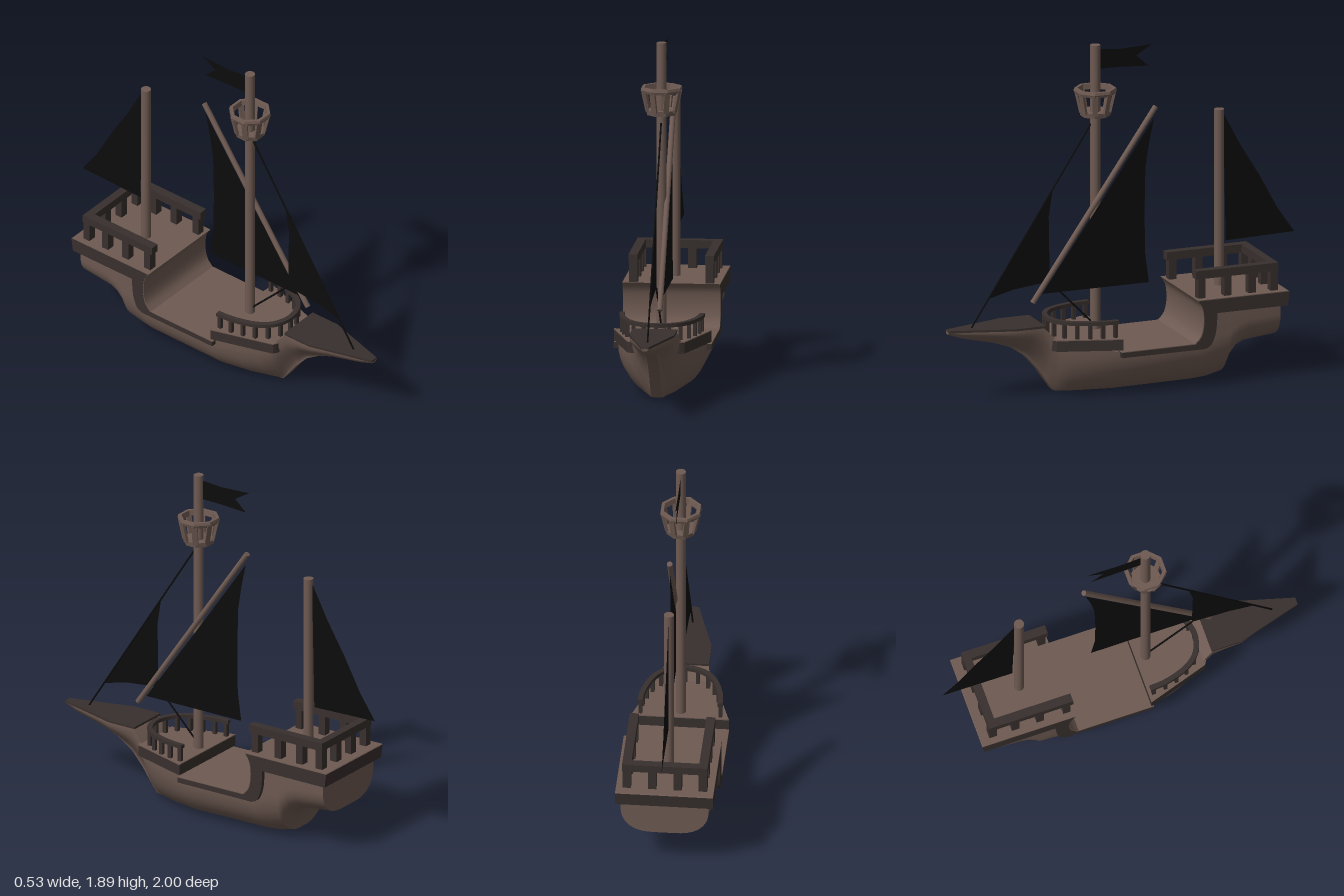
import * as THREE from 'three';
import { toCreasedNormals } from 'three/addons/utils/BufferGeometryUtils.js';

const wood = new THREE.MeshStandardMaterial({ color: 0x6e5a52, side: THREE.DoubleSide });
const trim = new THREE.MeshStandardMaterial({ color: 0x38302d });
const cloth = new THREE.MeshStandardMaterial({ color: 0x0c0c0c, side: THREE.DoubleSide });
const V = (x, y, z) => new THREE.Vector3(x, y, z);
const shapeOf = pts => new THREE.Shape(pts.map(p => new THREE.Vector2(p[0], p[1])));

export function createModel() {
  const ship = new THREE.Group();
  ship.name = 'sailingShip';

  const add = (name, geo, mat, parent = ship) => {
    const m = new THREE.Mesh(geo, mat);
    m.name = name;
    parent.add(m);
    return m;
  };
  const group = name => {
    const g = new THREE.Group();
    g.name = name;
    ship.add(g);
    return g;
  };
  const box = (name, w, h, d, x, y, z, parent) =>
    add(name, new THREE.BoxGeometry(w, h, d), trim, parent).position.set(x, y, z);
  // Outline in (z, y), extruded across the ship
  const across = (pts, half) => toCreasedNormals(
    new THREE.ExtrudeGeometry(shapeOf(pts), { depth: half * 2, bevelEnabled: false })
      .rotateY(-Math.PI / 2).translate(half, 0, 0), 0.6);
  // Outline in (x, z), extruded downwards from the given top
  const plan = (pts, top, depth) => toCreasedNormals(
    new THREE.ExtrudeGeometry(shapeOf(pts), { depth, bevelEnabled: false })
      .rotateX(Math.PI / 2).translate(0, top, 0), 0.6);
  const mirrored = pts => [...pts, ...pts.slice().reverse().map(([x, z]) => [-x, z])];
  // Round bar between two points
  const bar = (name, a, b, r, mat, sides = 16) => {
    const d = b.clone().sub(a);
    const m = add(name, new THREE.CylinderGeometry(r, r, d.length(), sides), mat);
    m.position.copy(a).addScaledVector(d, 0.5);
    m.quaternion.setFromUnitVectors(V(0, 1, 0), d.normalize());
  };
  // Flat cloth in the (z, y) plane
  const sail = (name, pts, x = 0) =>
    add(name, new THREE.ShapeGeometry(shapeOf(pts)).rotateY(-Math.PI / 2).translate(x, 0, 0), cloth);

  // Hull stations: z, half width, top, height where the sides turn upright, keel y, keel half width, fullness
  const stations = [
    [-0.825, 0.235, 0.45, 0.36, 0.22, 0.05, 0.38],
    [-0.64, 0.24, 0.45, 0.35, 0.20, 0.05, 0.38],
    [-0.59, 0.24, 0.45, 0.33, 0.17, 0.05, 0.42],
    [-0.55, 0.24, 0.45, 0.30, 0.10, 0.04, 0.48],
    [-0.53, 0.24, 0.45, 0.28, 0.03, 0.03, 0.5],
    [-0.45, 0.24, 0.45, 0.27, 0.01, 0.03, 0.5],
    [-0.38, 0.24, 0.24, 0.24, 0.005, 0.03, 0.5],
    [0.08, 0.24, 0.24, 0.24, 0, 0.03, 0.5],
    [0.24, 0.205, 0.28, 0.26, 0.003, 0.03, 0.55],
    [0.34, 0.17, 0.28, 0.27, 0.006, 0.03, 0.75],
    [0.40, 0.145, 0.29, 0.28, 0.015, 0.03, 1.2],
    [0.44, 0.13, 0.34, 0.33, 0.07, 0.03, 1.8],
    [0.49, 0.118, 0.39, 0.37, 0.14, 0.03, 2],
    [0.56, 0.118, 0.39, 0.375, 0.22, 0.03, 2],
    [0.65, 0.118, 0.39, 0.38, 0.28, 0.03, 1.5],
    [0.74, 0.09, 0.39, 0.385, 0.312, 0.025, 1.2],
    [0.92, 0.04, 0.392, 0.388, 0.352, 0.015, 1],
    [1.0, 0.019, 0.395, 0.39, 0.38, 0.01, 1],
  ];
  const N = 12;
  const rings = stations.map(([z, w, top, turn, keel, k, full]) => {
    const side = [[w, top]];
    for (let i = N; i >= 0; i--) {
      const u = (i / N) ** 2;
      side.push([k + (w - k) * (1 - (1 - u) ** 2) ** full, keel + (turn - keel) * u]);
    }
    return mirrored(side).map(([x, y]) => [x, y, z]);
  });
  const n = rings[0].length, last = rings.length - 1, index = [];
  for (let i = 0; i < last; i++) for (let j = 0; j < n; j++) {
    const a = i * n + j, b = i * n + (j + 1) % n, c = b + n, d = a + n;
    index.push(a, d, c, a, c, b);
  }
  for (let j = 1; j < n - 1; j++) index.push(0, j, j + 1, last * n, last * n + j + 1, last * n + j);
  const hull = new THREE.BufferGeometry();
  hull.setAttribute('position', new THREE.Float32BufferAttribute(rings.flat(2), 3));
  hull.setIndex(index);
  add('hull', toCreasedNormals(hull, 0.7), wood);

  // Beak plate
  add('beakTop', plan(mirrored([[0.12, 0.48], [0.12, 0.65], [0.085, 0.77], [0.02, 1]]), 0.402, 0.012), trim);

  // Gunwale band following the stepped deck line
  const spline = pts => new THREE.SplineCurve(pts.map(p => new THREE.Vector2(...p))).getPoints(16).map(p => [p.x, p.y]);
  const deckLine = [[-0.865, 0.488],
    ...spline([[-0.34, 0.488], [-0.368, 0.44], [-0.375, 0.36], [-0.36, 0.29], [-0.325, 0.25]]), [0.1, 0.248]];
  const bandBottom = [[0.1, 0.22],
    ...spline([[-0.38, 0.22], [-0.415, 0.24], [-0.44, 0.3], [-0.448, 0.37], [-0.45, 0.412]]), [-0.855, 0.412]];
  add('gunwale', across([...deckLine, ...bandBottom], 0.263), trim);
  add('deck', across([...deckLine, ...deckLine.map(([z, y]) => [z + 0.004, y + 0.004]).reverse()], 0.262), wood);

  // Raised foredeck
  const fore = mirrored([[0.262, 0.09], [0.155, 0.43], [0.13, 0.445]]);
  add('foredeckEdge', plan(fore, 0.32, 0.058), trim);
  add('foredeck', plan(fore, 0.325, 0.005), wood);

  // Stern railing
  const sternRail = group('sternRailing');
  for (const s of [-1, 1]) {
    box('sideRail', 0.048, 0.045, 0.475, s * 0.205, 0.622, -0.578, sternRail);
    for (const z of [-0.375, -0.525, -0.665, -0.792]) box('post', 0.045, 0.12, 0.042, s * 0.204, 0.545, z, sternRail);
    box('backPost', 0.045, 0.12, 0.042, s * 0.068, 0.545, -0.792, sternRail);
  }
  box('backRail', 0.41, 0.044, 0.045, 0, 0.622, -0.793, sternRail);

  // Curved bow railing
  const bowRail = group('bowRailing');
  const curve = new THREE.SplineCurve([[0.215, 0.1], [0.205, 0.2], [0.165, 0.32], [0.1, 0.395], [0, 0.425],
    [-0.1, 0.395], [-0.165, 0.32], [-0.205, 0.2], [-0.215, 0.1]].map(p => new THREE.Vector2(...p)));
  const offset = d => Array.from({ length: 33 }, (_, i) => {
    const p = curve.getPoint(i / 32), t = curve.getTangent(i / 32);
    return [p.x - t.y * d, p.y + t.x * d];
  });
  add('rail', plan([...offset(0.014), ...offset(-0.014).reverse()], 0.42, 0.02), trim, bowRail);
  for (let i = 0; i <= 12; i++) {
    const p = curve.getPointAt(0.02 + 0.96 * i / 12);
    box('post', 0.02, 0.085, 0.02, p.x, 0.362, p.y, bowRail);
  }

  // Masts and slanted yard
  bar('mainMast', V(0, 0.3, 0.147), V(0, 1.893, 0.147), 0.027, wood);
  bar('aftMast', V(0, 0.48, -0.567), V(0, 1.463, -0.567), 0.027, wood);
  bar('yard', V(0.03, 0.51, 0.52), V(0.03, 1.525, -0.19), 0.015, wood);

  // Crow's nest: floor cup, posts at the corners, top ring
  const nest = group('crowsNest');
  nest.position.set(0, 0, 0.147);
  const lathe = pts => toCreasedNormals(
    new THREE.LatheGeometry(pts.map(p => new THREE.Vector2(...p)), 8, Math.PI / 8), 0.3);
  add('floor', lathe([[0, 1.503], [0.08, 1.503], [0.086, 1.53], [0.07, 1.53], [0, 1.525]]), wood, nest);
  add('ring', lathe([[0.09, 1.625], [0.11, 1.625], [0.116, 1.64], [0.112, 1.655], [0.095, 1.655], [0.09, 1.625]]), wood, nest);
  for (let i = 0; i < 8; i++) {
    const arm = new THREE.Group();
    arm.rotation.y = Math.PI / 8 + i * Math.PI / 4;
    arm.name = 'postArm';
    nest.add(arm);
    const post = add('post', new THREE.BoxGeometry(0.03, 0.115, 0.014), wood, arm);
    post.position.set(0, 1.578, 0.091);
    post.rotation.x = 0.22;
  }

  // Sails and pennant
  sail('mainSail', [[0.465, 0.555], [0.13, 1.02], [-0.18, 1.46], [-0.15, 1.32], [-0.13, 1.19],
    [-0.125, 0.95], [-0.128, 0.72], [-0.15, 0.555]], 0.03);
  sail('aftSail', [[-0.59, 1.44], [-0.605, 0.73], [-1, 0.74], [-0.905, 0.877], [-0.8, 1.07], [-0.69, 1.25]]);
  sail('foreSail', [[0.39, 1.13], [0.415, 0.97], [0.412, 0.8], [0.41, 0.61], [0.62, 0.587], [0.762, 0.55], [0.7, 0.65]]);
  sail('pennant', [[0.125, 1.865], [0, 1.855], [-0.18, 1.862], [-0.09, 1.808], [-0.16, 1.745], [0, 1.755], [0.125, 1.758]]);

  // Ropes
  bar('foreStay', V(0, 1.46, 0.17), V(0, 0.4, 0.86), 0.005, cloth, 6);
  bar('sheetRope', V(0, 0.61, 0.41), V(0, 0.36, 0.165), 0.005, cloth, 6);
  return ship;
}
